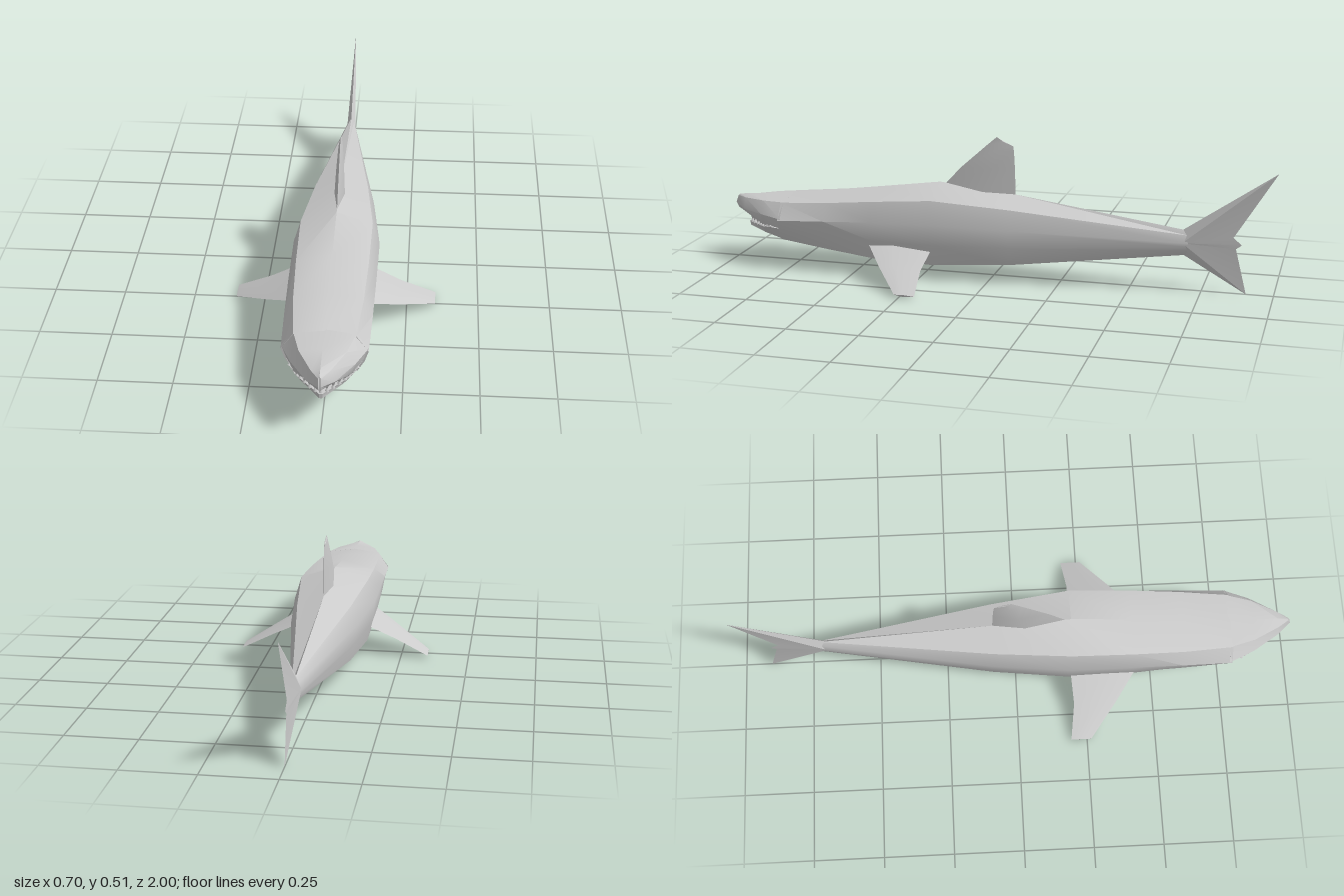
import * as THREE from 'three';
import { toCreasedNormals } from 'three/addons/utils/BufferGeometryUtils.js';

const material = new THREE.MeshStandardMaterial({ color: 0xcccccc, side: THREE.DoubleSide });

// Skin between rings of [x, y, z] points, each running clockwise along the direction of travel
function loft(name, rings, crease = 0.6) {
  const n = rings[0].length;
  const points = rings.flat();
  const index = [];
  for (let i = 0; i < rings.length - 1; i++) {
    for (let j = 0; j < n; j++) {
      const a = i * n + j, b = i * n + (j + 1) % n;
      index.push(a, b, b + n, a, b + n, a + n);
    }
  }
  // End caps
  [0, rings.length - 1].forEach((r, end) => {
    const centre = [0, 1, 2].map(k => rings[r].reduce((s, p) => s + p[k], 0) / n);
    const c = points.push(centre) - 1;
    for (let j = 0; j < n; j++) {
      const a = r * n + j, b = r * n + (j + 1) % n;
      if (end) index.push(c, a, b); else index.push(c, b, a);
    }
  });
  return surface(name, points, index, crease);
}

function surface(name, points, index, crease) {
  const geometry = new THREE.BufferGeometry();
  geometry.setAttribute('position', new THREE.Float32BufferAttribute(points.flat(), 3));
  geometry.setIndex(index);
  const mesh = new THREE.Mesh(toCreasedNormals(geometry, crease), material);
  mesh.name = name;
  return mesh;
}

// Half section from top centre to bottom centre, mirrored into a full ring
function section(z, half) {
  const right = half.map(([x, y, pz = z]) => [x, y, pz]);
  const left = right.slice(1, -1).reverse().map(([x, y, pz]) => [-x, y, pz]);
  return [...right, ...left];
}

// Trunk: z, top, shoulder x/y, side x/y, belly x/y, bottom
function trunk() {
  const stations = [
    [0.78, 0.262, 0.10, 0.248, 0.14, 0.19, 0.105, 0.112, 0.10],
    [0.60, 0.285, 0.115, 0.262, 0.145, 0.20, 0.115, 0.09, 0.076],
    [0.42, 0.31, 0.122, 0.28, 0.148, 0.21, 0.122, 0.07, 0.05],
    [0.20, 0.34, 0.125, 0.298, 0.15, 0.215, 0.123, 0.062, 0.035],
    [-0.08, 0.31, 0.095, 0.275, 0.118, 0.205, 0.095, 0.075, 0.05],
    [-0.70, 0.22, 0.01, 0.205, 0.016, 0.178, 0.01, 0.15, 0.133],
  ];
  return loft('body', stations.map(([z, top, ax, ay, bx, by, cx, cy, bottom]) => section(z, [
    [0, top], [ax, ay], [bx, by], [(bx + cx) * 0.52, (by + cy) / 2], [cx, cy], [0, bottom],
  ])));
}

// Snout with the upper lip, nose first
function snout() {
  return loft('snout', [
    section(0.99, [[0, 0.245, 0.985], [0.004, 0.24], [0.004, 0.215, 1], [0.003, 0.195], [0, 0.19, 0.985]]),
    section(0.95, [[0, 0.25], [0.03, 0.24], [0.045, 0.2], [0.025, 0.168, 0.93], [0, 0.172, 0.945]]),
    section(0.86, [[0, 0.255], [0.075, 0.245], [0.102, 0.2], [0.09, 0.162], [0, 0.175]]),
    section(0.77, [[0, 0.263], [0.10, 0.249], [0.14, 0.195], [0.128, 0.157], [0, 0.175]]),
  ]);
}

function lowerJaw() {
  return loft('lowerJaw', [
    section(0.945, [[0, 0.146], [0.006, 0.146], [0.006, 0.13], [0, 0.127]]),
    section(0.86, [[0, 0.14], [0.087, 0.15], [0.065, 0.122], [0, 0.112]]),
    section(0.77, [[0, 0.14], [0.128, 0.157], [0.105, 0.112], [0, 0.099]]),
  ]);
}

// A row of pointed teeth following the V of a lip
function teeth(name, y, direction) {
  const row = new THREE.Group();
  row.name = name;
  const lip = new THREE.CatmullRomCurve3([
    new THREE.Vector3(0.108, 0.157, 0.82),
    new THREE.Vector3(0.07, (y + 0.157) / 2, 0.875),
    new THREE.Vector3(0, y, 0.937),
    new THREE.Vector3(-0.07, (y + 0.157) / 2, 0.875),
    new THREE.Vector3(-0.108, 0.157, 0.82),
  ]);
  const count = 17;
  for (let i = 0; i < count; i++) {
    const t = i / (count - 1);
    const height = 0.008 + 0.014 * Math.sin(Math.PI * t);
    const tooth = new THREE.Mesh(new THREE.ConeGeometry(0.007, height, 4), material);
    tooth.name = 'tooth';
    tooth.position.copy(lip.getPoint(t));
    tooth.position.y += direction * height * 0.4;
    if (direction < 0) tooth.rotation.x = Math.PI;
    row.add(tooth);
  }
  return row;
}

function dorsalFin() {
  // y at front and back, z at front, thickest line and back, half thickness
  const levels = [
    [0.325, 0.29, 0.19, 0.04, -0.08, 0.019],
    [0.40, 0.40, 0.12, 0.01, -0.077, 0.014],
    [0.485, 0.465, 0.025, -0.02, -0.073, 0.008],
    [0.515, 0.485, -0.01, -0.035, -0.07, 0.003],
  ];
  return loft('dorsalFin', levels.map(([yf, yb, front, mid, back, w]) => [
    [0, yf, front], [w, (yf + yb) / 2, mid], [0, yb, back], [-w, (yf + yb) / 2, mid],
  ]));
}

function pectoralFin(side) {
  // x, y, leading z, trailing z, half thickness
  const spans = [
    [0.10, 0.133, 0.46, 0.20, 0.016],
    [0.14, 0.112, 0.425, 0.20, 0.015],
    [0.23, 0.07, 0.36, 0.207, 0.01],
    [0.35, 0.014, 0.265, 0.192, 0.004],
  ];
  const rings = spans.map(([x, y, lead, trail, h]) => {
    const mid = lead * 0.6 + trail * 0.4;
    const ring = [
      [side * x, y + h, mid], [side * x, y + h * 0.5, lead],
      [side * (x - h * 0.5), y - h, mid], [side * x, y, trail],
    ];
    return side > 0 ? ring : ring.reverse();
  });
  return loft(side > 0 ? 'leftPectoralFin' : 'rightPectoralFin', rings);
}

// Tail: two faces fanning from the thick root to a sharp outline
function tailFin() {
  const outline = [
    [-0.68, 0.222], [-1, 0.44], [-0.855, 0.205], [-0.885, 0.18],
    [-0.865, 0.165], [-0.905, 0.005], [-0.68, 0.134],
  ];
  const points = outline.map(([z, y]) => [0, y, z]);
  const left = points.push([0.017, 0.178, -0.68]) - 1;
  const right = points.push([-0.017, 0.178, -0.68]) - 1;
  const index = [];
  for (let i = 0; i < outline.length - 1; i++) {
    index.push(left, i + 1, i, right, i, i + 1);
  }
  return surface('tailFin', points, index, 0.4);
}

export function createModel() {
  const model = new THREE.Group();
  model.name = 'shark';
  model.add(
    trunk(), snout(), lowerJaw(),
    teeth('upperTeeth', 0.17, -1), teeth('lowerTeeth', 0.146, 1),
    dorsalFin(), pectoralFin(1), pectoralFin(-1), tailFin(),
  );
  return model;
}
